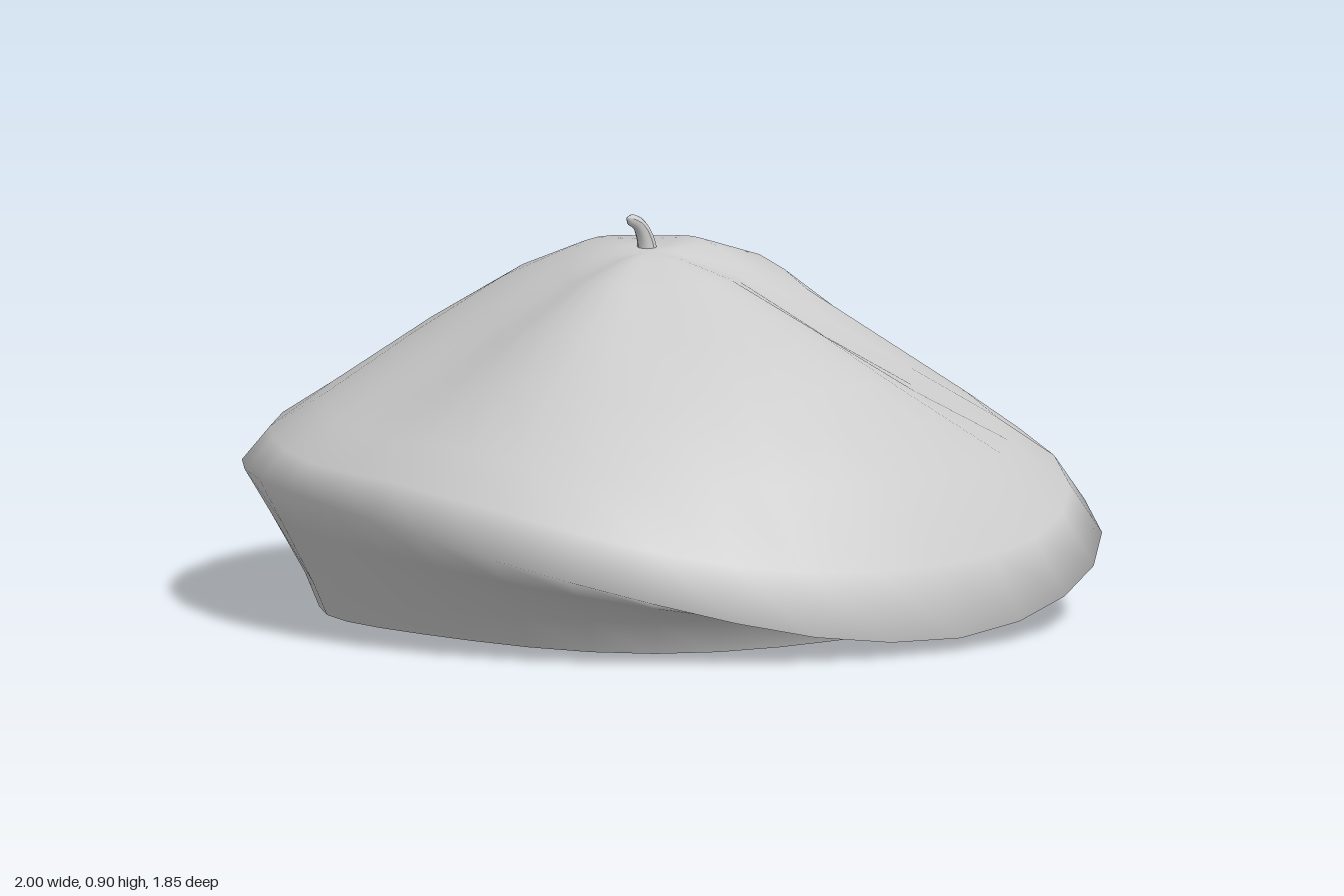
import * as THREE from 'three';
import { mergeVertices } from 'three/addons/utils/BufferGeometryUtils.js';

const SEGMENTS = 32;
const APEX = 0.82;

// One entry per 22.5 degrees, starting at +x and turning towards the front (+z)
const rimRadius = [1.0, 0.975, 0.985, 0.965, 0.92, 0.9, 0.92, 0.965, 0.995, 1.015, 1.04, 0.99, 0.912, 0.99, 1.037, 1.025];
const rimHeight = [0.03, 0.06, 0.15, 0.24, 0.3, 0.32, 0.32, 0.31, 0.31, 0.32, 0.33, 0.33, 0.31, 0.26, 0.17, 0.08];
// Heights of the crown at fractions of the rim radius
const crownRings = [
  [0.2, [0.77, 0.765, 0.76, 0.77, 0.77, 0.76, 0.77, 0.8, 0.825, 0.83, 0.825, 0.83, 0.83, 0.8, 0.76, 0.765]],
  [0.4, [0.675, 0.67, 0.66, 0.68, 0.675, 0.65, 0.66, 0.71, 0.75, 0.755, 0.76, 0.775, 0.775, 0.71, 0.62, 0.66]],
  [0.6, [0.57, 0.565, 0.55, 0.565, 0.56, 0.54, 0.56, 0.6, 0.64, 0.645, 0.645, 0.65, 0.64, 0.58, 0.5, 0.54]],
  [0.8, [0.37, 0.38, 0.39, 0.44, 0.45, 0.44, 0.46, 0.48, 0.51, 0.52, 0.51, 0.51, 0.5, 0.45, 0.38, 0.37]],
  [0.93, [0.19, 0.2, 0.26, 0.34, 0.38, 0.38, 0.39, 0.4, 0.42, 0.42, 0.43, 0.42, 0.41, 0.36, 0.28, 0.21]],
];

// Smooth periodic lookup in a ring table, u in 0..1
function sample(table, u) {
  const n = table.length, f = u * n, i = Math.floor(f), t = f - i;
  const [a, b, c, d] = [-1, 0, 1, 2].map(k => table[(i + k + n) % n]);
  return b + 0.5 * t * (c - a + t * (2 * a - 5 * b + 4 * c - d + t * (3 * (b - c) + d - a)));
}

// Sweeps a profile that varies with the angle around the y axis; profile(u) returns Vector3s
function loft(profile) {
  const positions = [], index = [];
  let count = 0;
  for (let i = 0; i < SEGMENTS; i++) {
    const points = profile(i / SEGMENTS);
    count = points.length;
    points.forEach(p => positions.push(p.x, p.y, p.z));
  }
  for (let i = 0; i < SEGMENTS; i++) {
    for (let j = 0; j < count - 1; j++) {
      const a = i * count + j, b = ((i + 1) % SEGMENTS) * count + j;
      index.push(a, b, a + 1, b, b + 1, a + 1);
    }
  }
  let geometry = new THREE.BufferGeometry();
  geometry.setAttribute('position', new THREE.Float32BufferAttribute(positions, 3));
  geometry.setIndex(index);
  geometry = mergeVertices(geometry);
  geometry.computeVertexNormals();
  return geometry;
}

function polar(u, r, y, depth = 1) {
  const a = u * Math.PI * 2;
  return new THREE.Vector3(r * Math.cos(a), y, r * Math.sin(a) * depth);
}

const hemHeight = u => 0.008 + 0.007 * Math.cos(u * Math.PI * 8);

// Crown, drooping rim, underside and outer headband as one cloth surface
function clothProfile(u) {
  const R = sample(rimRadius, u), y = sample(rimHeight, u);
  const shoulder = THREE.MathUtils.lerp(APEX, sample(crownRings[0][1], u), 0.25);
  const points = [new THREE.Vector3(0, APEX, 0), polar(u, R * 0.08, shoulder)];
  for (const [t, heights] of crownRings) points.push(polar(u, R * t, sample(heights, u)));
  points.push(
    polar(u, R, y),
    polar(u, R * 0.55 + 0.355, y * 0.55 + 0.045),
    polar(u, 0.79, 0.08, 0.98),
    polar(u, 0.757, hemHeight(u), 0.98),
  );
  return points;
}

// Inside face of the headband
function liningProfile(u) {
  return [
    polar(u, 0.757, hemHeight(u), 0.98),
    polar(u, 0.745, 0.13, 0.98),
    polar(u, 0.735, 0.24, 0.98),
  ];
}

// Bent stalk that tapers to a rounded tip
function stalkGeometry() {
  const path = new THREE.CatmullRomCurve3([
    new THREE.Vector3(-0.04, 0.79, -0.042),
    new THREE.Vector3(-0.042, 0.84, -0.036),
    new THREE.Vector3(-0.046, 0.875, -0.018),
    new THREE.Vector3(-0.055, 0.893, 0.012),
  ]);
  const steps = 12, sides = 10;
  const geometry = new THREE.TubeGeometry(path, steps, 1, sides);
  const pos = geometry.attributes.position, v = new THREE.Vector3();
  for (let i = 0; i < pos.count; i++) {
    const t = Math.floor(i / (sides + 1)) / steps;
    const radius = t === 1 ? 0.001 : 0.026 - 0.014 * t;
    const centre = path.getPointAt(t);
    v.fromBufferAttribute(pos, i).sub(centre).multiplyScalar(radius).add(centre);
    pos.setXYZ(i, v.x, v.y, v.z);
  }
  geometry.computeVertexNormals();
  return geometry;
}

export function createModel() {
  const group = new THREE.Group();
  group.name = 'beret';
  const material = new THREE.MeshStandardMaterial({ color: 0xcccccc, side: THREE.DoubleSide });
  const add = (name, geometry) => {
    const mesh = new THREE.Mesh(geometry, material);
    mesh.name = name;
    group.add(mesh);
  };
  add('crownAndBand', loft(clothProfile));
  add('bandLining', loft(liningProfile));
  add('stalk', stalkGeometry());
  return group;
}
